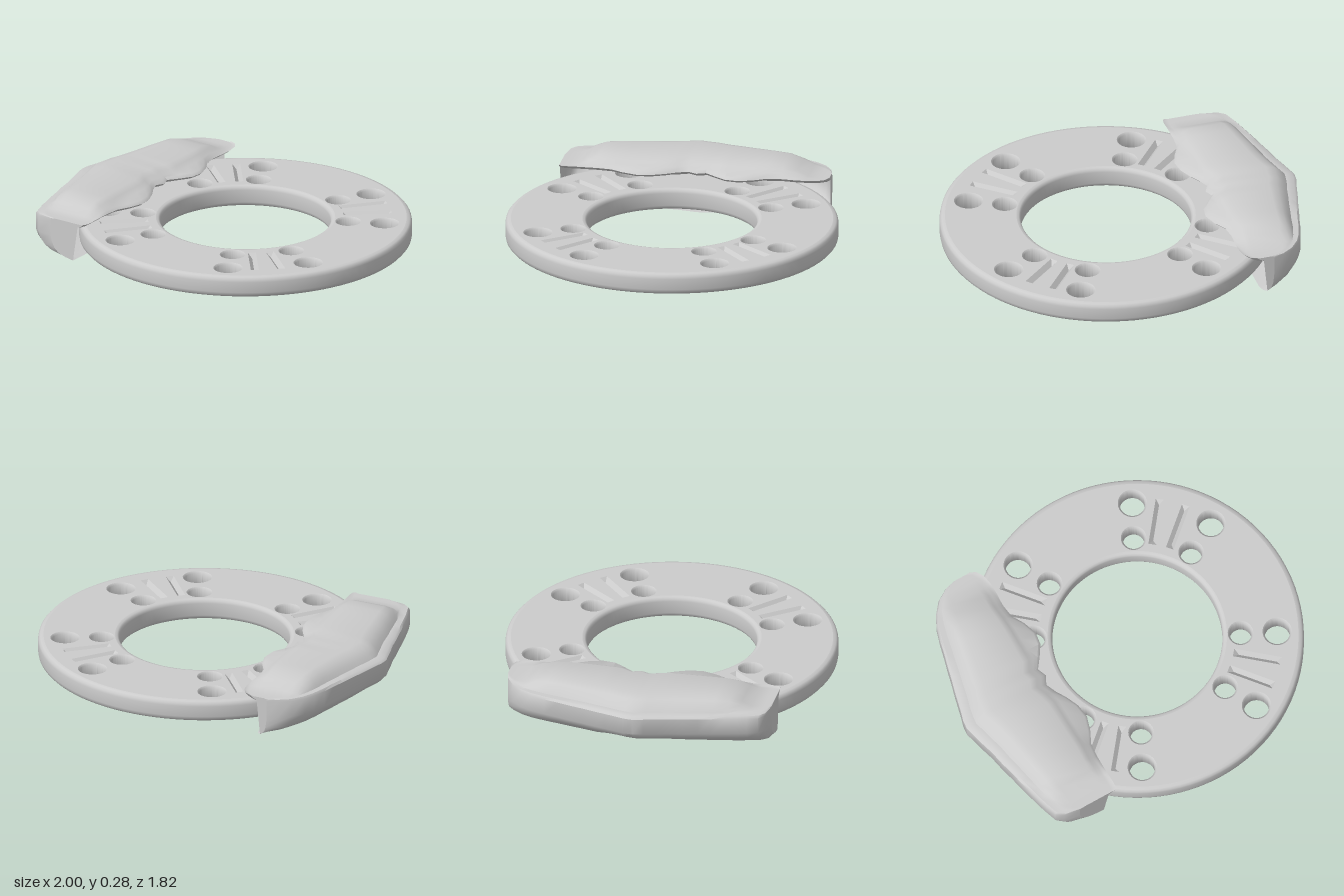
import * as THREE from 'three';
import { toCreasedNormals } from 'three/addons/utils/BufferGeometryUtils.js';

const material = new THREE.MeshStandardMaterial({ color: 0xcccccc, side: THREE.DoubleSide });
const SEG = 96, TOP = 0.17, BOTTOM = 0.05;

function add(parent, name, geometry) {
  const mesh = new THREE.Mesh(geometry, material);
  mesh.name = name;
  parent.add(mesh);
  return mesh;
}

const lathe = (pts) => toCreasedNormals(
  new THREE.LatheGeometry(pts.map(([x, y]) => new THREE.Vector2(x, y)), SEG), 0.9);

function circlePath(x, y, r) {
  const path = new THREE.Path();
  path.absarc(x, y, r, 0, Math.PI * 2, true);
  return path;
}

// Radial groove: four rim corners in the disc plane and two points on the valley floor
const GROOVE = [[0.535, -0.022, 0], [0.8, -0.022, 0], [0.8, 0.022, 0], [0.535, 0.022, 0],
  [0.565, 0, -0.025], [0.775, 0, -0.025]];

function groovePoints(angle) {
  const axis = new THREE.Vector3(0, 0, 1);
  return GROOVE.map((p) => new THREE.Vector3(...p).applyAxisAngle(axis, angle));
}

function createDisc() {
  const disc = new THREE.Group();
  disc.name = 'disc';
  disc.position.x = 0.085;

  // Rounded rims, outer and inner
  add(disc, 'outerRim', lathe([[0.88, 0.05], [0.897, 0.054], [0.907, 0.065], [0.91, 0.08],
    [0.91, 0.14], [0.907, 0.155], [0.897, 0.166], [0.88, 0.17]]));
  add(disc, 'innerRim', lathe([[0.49, 0.17], [0.477, 0.167], [0.468, 0.158], [0.465, 0.145],
    [0.465, 0.075], [0.468, 0.062], [0.477, 0.053], [0.49, 0.05]]));

  const face = () => {
    const shape = new THREE.Shape();
    shape.absarc(0, 0, 0.88, 0, Math.PI * 2, false);
    shape.holes.push(circlePath(0, 0, 0.49));
    return shape;
  };
  const topShape = face(), bottomShape = face();

  // Drilled holes, mirrored into the four quadrants
  const bevel = 0.01;
  for (const [x, z, r] of [[0.36, 0.678, 0.07], [0.265, 0.5, 0.06], [0.495, 0.27, 0.06], [0.673, 0.362, 0.07]]) {
    const wall = lathe([[r + bevel, TOP], [r, TOP - bevel], [r, BOTTOM + bevel], [r + bevel, BOTTOM]]);
    for (const sx of [1, -1]) for (const sz of [1, -1]) {
      topShape.holes.push(circlePath(sx * x, sz * z, r + bevel));
      bottomShape.holes.push(circlePath(sx * x, sz * z, r + bevel));
      add(disc, 'holeWall', wall).position.set(sx * x, 0, sz * z);
    }
  }

  // Pairs of grooves on the diagonals of the upper face
  for (const base of [40.7, 51.2]) for (const sx of [1, -1]) for (const sz of [1, -1]) {
    const a = THREE.MathUtils.degToRad(base);
    const pts = groovePoints(Math.atan2(sz * Math.sin(a), sx * Math.cos(a)));
    topShape.holes.push(new THREE.Path(pts.slice(0, 4).map((p) => new THREE.Vector2(p.x, p.y))));
    const indexed = new THREE.BufferGeometry().setFromPoints(pts);
    indexed.setIndex([0, 1, 5, 0, 5, 4, 1, 2, 5, 2, 3, 4, 2, 4, 5, 3, 0, 4]);
    const groove = indexed.toNonIndexed();
    groove.computeVertexNormals();
    add(disc, 'groove', groove.rotateX(-Math.PI / 2).translate(0, TOP, 0));
  }

  add(disc, 'topFace', new THREE.ShapeGeometry(topShape, SEG / 2).rotateX(-Math.PI / 2).translate(0, TOP, 0));
  add(disc, 'bottomFace', new THREE.ShapeGeometry(bottomShape, SEG / 2).rotateX(Math.PI / 2).translate(0, BOTTOM, 0));
  return disc;
}

// Caliper stations: z, outer x, lip x, lower plate x, rise of the raised panel
const STATIONS = [
  [-0.755, -0.64, -0.54, -0.6, 0], [-0.74, -0.7, -0.505, -0.58, 0], [-0.7, -0.765, -0.48, -0.57, 0],
  [-0.64, -0.815, -0.47, -0.57, 0.12], [-0.58, -0.845, -0.47, -0.57, 0.6], [-0.5, -0.87, -0.475, -0.57, 0.95],
  [-0.42, -0.89, -0.465, -0.57, 1], [-0.35, -0.91, -0.425, -0.57, 1], [-0.27, -0.93, -0.4, -0.57, 1],
  [-0.2, -0.95, -0.41, -0.57, 1], [-0.14, -0.965, -0.45, -0.5, 1], [-0.08, -0.98, -0.495, -0.48, 1],
  [-0.03, -0.995, -0.475, -0.48, 1], [0.02, -1, -0.5, -0.49, 1], [0.08, -0.985, -0.475, -0.5, 1],
  [0.14, -0.97, -0.44, -0.505, 1], [0.21, -0.95, -0.41, -0.515, 1], [0.29, -0.935, -0.4, -0.52, 1],
  [0.37, -0.915, -0.425, -0.53, 1], [0.44, -0.9, -0.46, -0.54, 1], [0.52, -0.88, -0.468, -0.55, 0.93],
  [0.58, -0.865, -0.468, -0.55, 0.55], [0.63, -0.85, -0.468, -0.55, 0.06], [0.69, -0.83, -0.466, -0.55, 0],
  [0.72, -0.79, -0.468, -0.55, 0], [0.735, -0.7, -0.48, -0.55, 0],
];

// C-shaped cross-section, from under the lip, over the top and round to the lower plate
function caliperSection([, xo, xi, xb, k]) {
  const b = Math.min(-0.49, xi - 0.03), W = b - xo, w = xb - xo;
  return [
    [Math.min(xi - 0.04, -0.5), 0.205], [xi - 0.015, 0.217], [xi, 0.23], [xi - 0.015, 0.225 + 0.02 * k],
    [b, 0.225 + 0.027 * k], [b - 0.06 * W, 0.225 + 0.045 * k], [b - 0.14 * W, 0.225 + 0.062 * k],
    [xo + 0.34 * W, 0.225 + 0.062 * k], [xo + 0.24 * W, 0.225 + 0.05 * k], [xo + 0.16 * W, 0.225 + 0.02 * k],
    [xo + 0.12 * W, 0.223], [xo + 0.03 * W, 0.222], [xo, 0.21], [xo, 0.12], [xo + 0.06 * w, 0.085],
    [xo + 0.17 * w, 0.053], [xo + 0.35 * w, 0.03], [xo + 0.65 * w, 0.015], [xb, 0.006],
  ];
}

function createCaliper() {
  const sections = STATIONS.map(caliperSection), n = sections[0].length, last = sections.length - 1;
  const points = sections.flatMap((s, i) => s.map(([x, y]) => new THREE.Vector3(x, y, STATIONS[i][0])));
  const index = [];
  for (let i = 0; i < last; i++) {
    for (let j = 0; j < n - 1; j++) {
      const a = i * n + j, b = a + n;
      index.push(a, b, a + 1, b, b + 1, a + 1);
    }
  }
  // Closed end walls
  for (const end of [0, last]) {
    const outline = sections[end].map(([x, y]) => new THREE.Vector2(x, y));
    for (const [a, b, c] of THREE.ShapeUtils.triangulateShape(outline, [])) {
      const o = end * n;
      index.push(o + a, o + (end ? b : c), o + (end ? c : b));
    }
  }
  const geometry = new THREE.BufferGeometry().setFromPoints(points);
  geometry.setIndex(index);
  return toCreasedNormals(geometry, 0.75);
}

export function createModel() {
  const model = new THREE.Group();
  model.name = 'discBrake';
  model.add(createDisc());
  add(model, 'caliper', createCaliper());
  return model;
}
